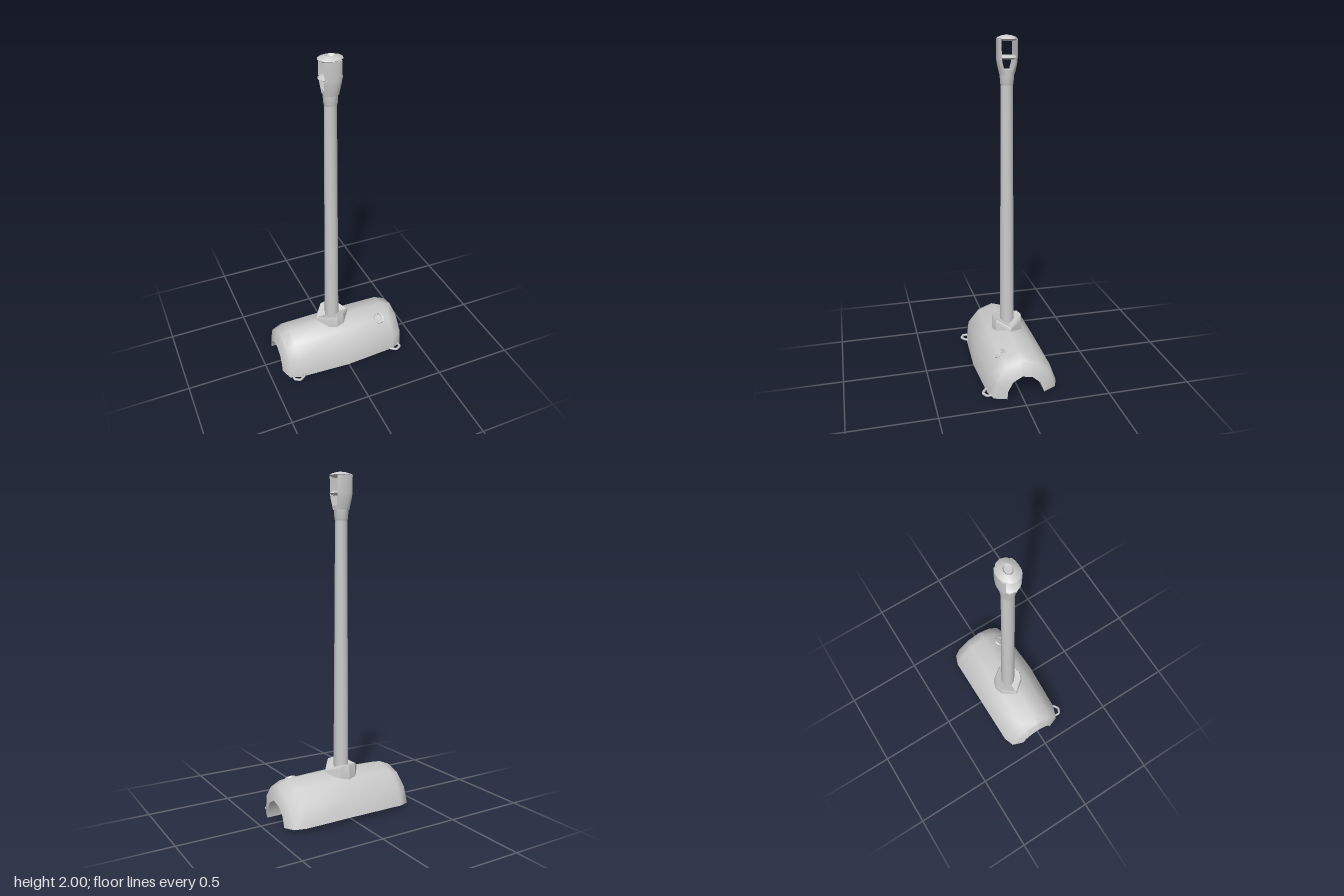
import * as THREE from 'three';
import { toCreasedNormals } from 'three/addons/utils/BufferGeometryUtils.js';

const material = new THREE.MeshStandardMaterial({ color: 0xcccccc, side: THREE.DoubleSide });
const CX = -0.028, CZ = -0.017; // axis of the pole

// Skins a list of closed convex loops and caps both ends, facing outward.
function loft(loops, crease = 0.9) {
  const n = loops[0].length, tris = [];
  const push = (a, b, c) => tris.push([a, b, c]);
  for (let i = 0; i + 1 < loops.length; i++) {
    for (let j = 0; j < n; j++) {
      const k = (j + 1) % n, a = loops[i], b = loops[i + 1];
      push(a[j], a[k], b[k]);
      push(a[j], b[k], b[j]);
    }
  }
  const first = loops[0], last = loops[loops.length - 1];
  for (let j = 1; j + 1 < n; j++) {
    push(first[0], first[j + 1], first[j]);
    push(last[0], last[j], last[j + 1]);
  }
  const cross = new THREE.Vector3();
  const volume = tris.reduce((s, [a, b, c]) => s + a.dot(cross.crossVectors(b, c)), 0);
  const points = tris.flatMap(([a, b, c]) => (volume < 0 ? [a, c, b] : [a, b, c]));
  return toCreasedNormals(new THREE.BufferGeometry().setFromPoints(points), crease);
}

const v = (x, y, z) => new THREE.Vector3(x, y, z);

function add(parent, name, geometry, x = 0, y = 0, z = 0) {
  const mesh = new THREE.Mesh(geometry, material);
  mesh.name = name;
  mesh.position.set(x, y, z);
  parent.add(mesh);
  return mesh;
}

function lathe(points, sides, crease = 0.7) {
  const profile = points.map(([r, y]) => new THREE.Vector2(r, y));
  return toCreasedNormals(new THREE.LatheGeometry(profile, sides), crease);
}

// Arched shell: inner and outer arch points as [z, y], blended along x.
function shellGeometry() {
  const outer = [[0.187, 0], [0.172, 0.13], [0.1, 0.212], [0, 0.246], [-0.105, 0.215], [-0.19, 0.135], [-0.228, 0.03]];
  const inner = [[0.09, 0], [0.085, 0.05], [0.055, 0.105], [0, 0.135], [-0.06, 0.122], [-0.108, 0.08], [-0.13, 0.018]];
  const stations = [[-0.415, 0], [-0.39, 0.76], [-0.325, 1], [0, 1], [0.325, 1], [0.39, 0.76], [0.415, 0]];
  const loops = outer.map(([zo, yo], i) => stations.map(([x, t]) => {
    const [zi, yi] = inner[i];
    const p = v(x, yi + (yo - yi) * t, zi + (zo - zi) * t);
    if (x === 0) { // slight swelling in the middle
      p.y *= 1.035;
      if (p.z > 0) p.z *= 1.1;
    }
    return p;
  }));
  return loft(loops, 0.95);
}

// Pointed collar, raised in the middle and dropping to its side tips.
function collarGeometry() {
  const plan = [[0.115, 0], [0.05, 0.083], [0, 0.097], [-0.05, 0.083], [-0.115, 0], [-0.05, -0.083], [0, -0.097], [0.05, -0.083]];
  const ring = (scale, mid, tip) => plan.map(([x, z]) => v(x * scale, z ? mid : tip, z * scale));
  return loft([ring(1, 0.215, 0.24), ring(0.97, 0.29, 0.262), ring(0.92, 0.305, 0.27)], 0.5);
}

// One cheek of the head: a slice of an oval tube beside the window.
function cheekGeometry() {
  const levels = [[1.79, 0.018, 0.043, 0.042], [1.855, 0.036, 0.057, 0.049],
    [1.88, 0.041, 0.058, 0.05], [1.98, 0.042, 0.058, 0.051]];
  return loft(levels.map(([y, zIn, zOut, w]) => {
    const loop = [];
    for (let i = 0; i <= 6; i++) {
      const a = (i / 6 - 0.5) * Math.PI;
      loop.push(v(w * Math.sin(a), y, zIn + (zOut - zIn) * Math.cos(a)));
    }
    return loop;
  }));
}

export function createModel() {
  const model = new THREE.Group();
  model.name = 'poleOnArchedBase';

  add(model, 'archedShell', shellGeometry());
  add(model, 'collar', collarGeometry(), CX, 0, CZ);
  add(model, 'pole', lathe([[0, 0.22], [0.045, 0.22], [0.035, 1.76], [0, 1.76]], 12), CX, 0, CZ);

  // Windowed head on top of the pole
  const head = new THREE.Group();
  head.name = 'head';
  head.position.set(CX, 0, CZ);
  model.add(head);
  add(head, 'headSocket', lathe([[0, 1.73], [0.036, 1.73], [0.039, 1.74], [0.042, 1.79], [0.043, 1.815], [0, 1.815]], 12));
  for (const side of [1, -1]) {
    add(head, side > 0 ? 'frontCheek' : 'backCheek', cheekGeometry()).rotation.y = side > 0 ? 0 : Math.PI;
  }
  const shelf = add(head, 'windowShelf', lathe([[0, 1.873], [0.054, 1.873], [0.07, 1.882], [0.054, 1.893], [0, 1.893]], 12));
  const cap = add(head, 'headCap', lathe([[0, 1.972], [0.055, 1.972], [0.071, 1.983], [0.066, 1.989],
    [0.03, 2], [0.021, 1.987], [0, 1.987]], 12));
  shelf.rotation.y = cap.rotation.y = Math.PI / 2;
  shelf.scale.x = cap.scale.x = 0.82; // local x runs along world z

  // Push button in a tilted socket on the shell
  const button = new THREE.Group();
  button.name = 'buttonAssembly';
  button.position.set(0.26, 0.2, 0.088);
  button.rotation.x = 0.65;
  model.add(button);
  add(button, 'buttonSocket', lathe([[0.036, -0.04], [0.038, 0.012], [0.034, 0.02], [0.027, 0.018], [0.024, -0.01], [0, -0.01]], 8, 0.5));
  add(button, 'button', new THREE.CylinderGeometry(0.02, 0.022, 0.03, 4).toNonIndexed(), 0, 0.002, 0);

  // Small wire loops at the front lower corners
  for (const side of [1, -1]) {
    const corners = [[0.3, 0.175], [0.306, 0.197], [0.34, 0.219], [0.373, 0.2], [0.37, 0.16]]
      .map(([x, z]) => v(x * side, 0.013, z));
    const path = new THREE.CurvePath();
    for (let i = 0; i + 1 < corners.length; i++) path.add(new THREE.LineCurve3(corners[i], corners[i + 1]));
    add(model, side > 0 ? 'leftLoop' : 'rightLoop', new THREE.TubeGeometry(path, 24, 0.008, 6));
  }
  return model;
}
